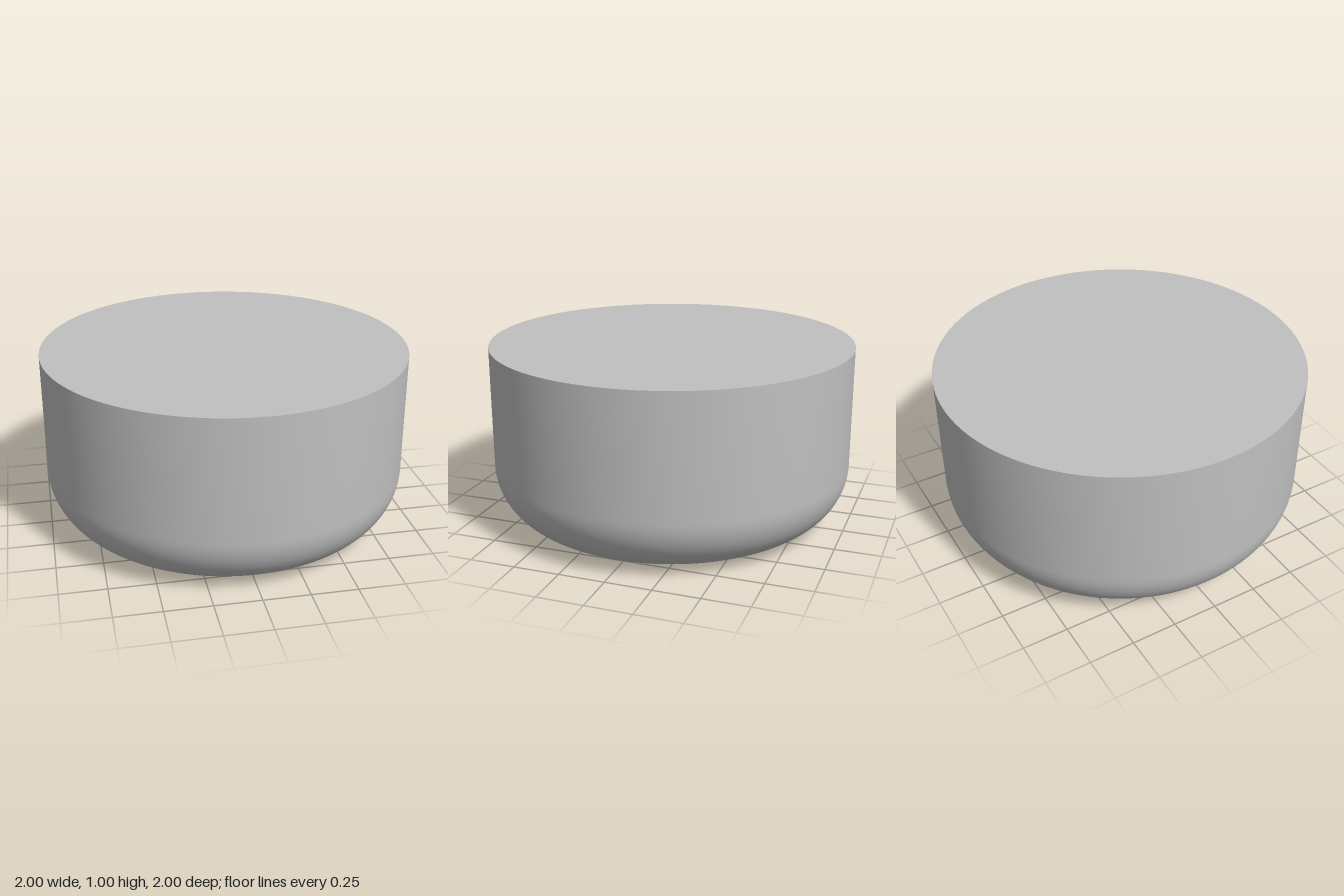
import * as THREE from 'three';
import { toCreasedNormals } from 'three/addons/utils/BufferGeometryUtils.js';

const FILLET = 1 / 3;        // radius of the rounded lower edge
const FLAT = 1 - FILLET;     // radius of the flat underside
const DEPTH = 1 / 3;         // depth of the cross-shaped recess
const HEIGHT = 1;

// Distance from the axis to the outline of the cross at an angle
function crossRadius(t) {
  const a = Math.abs(Math.sin(t)), b = Math.abs(Math.cos(t));
  const long = Math.max(a, b), short = Math.min(a, b);
  return short / long < 0.5 ? 2 / 3 / long : 1 / 3 / short;
}

// Height of the underside at a radius
function underside(r) {
  const d = Math.min(Math.max(r - FLAT, 0), FILLET);
  return FILLET - Math.sqrt(FILLET * FILLET - d * d);
}

// Angles around the axis, with a sample on every corner of the cross
function makeAngles() {
  const octant = [];
  const stops = [0, Math.atan(0.5), Math.PI / 6, Math.PI / 4], steps = [8, 1, 5];
  steps.forEach((n, k) => {
    for (let i = 0; i < n; i++) octant.push(stops[k] + (stops[k + 1] - stops[k]) * i / n);
  });
  const quarter = [...octant, Math.PI / 4, ...octant.slice(1).reverse().map(a => Math.PI / 2 - a)];
  const all = [];
  for (let q = 0; q < 4; q++) quarter.forEach(a => all.push(a + q * Math.PI / 2));
  return all;
}

// Surface swept around the axis; each row gives [radius, height] at an angle
function sweep(rows, angles) {
  const pos = [], index = [], n = angles.length;
  rows.forEach(row => angles.forEach(t => {
    const [r, y] = row(t);
    pos.push(r * Math.sin(t), y, r * Math.cos(t));
  }));
  for (let j = 0; j < rows.length - 1; j++) {
    for (let i = 0; i < n; i++) {
      const k = (i + 1) % n;
      const a = j * n + i, b = j * n + k, c = a + n, d = b + n;
      index.push(a, b, c, b, d, c);
    }
  }
  const g = new THREE.BufferGeometry();
  g.setAttribute('position', new THREE.Float32BufferAttribute(pos, 3));
  g.setIndex(index);
  return toCreasedNormals(g, 0.5);
}

export function createModel() {
  const group = new THREE.Group();
  group.name = 'roundedKnob';
  const grey = new THREE.MeshStandardMaterial({ color: 0xc0c0c0 });
  grey.name = 'grey';
  const angles = makeAngles();

  const add = (name, rows) => {
    const mesh = new THREE.Mesh(sweep(rows, angles), grey);
    mesh.name = name;
    group.add(mesh);
  };

  // Underside around the recess, rounded edge and straight side
  const shell = [t => {
    const r = crossRadius(t);
    return [r, underside(r)];
  }];
  const STEPS = 20;
  for (let i = 0; i <= STEPS; i++) {
    const a = i / STEPS * Math.PI / 2;
    const ring = FLAT + FILLET * Math.sin(a);
    shell.push(t => {
      const r = Math.max(ring, crossRadius(t));
      return [r, underside(r)];
    });
  }
  shell.push(() => [1, HEIGHT]);
  add('bodyShell', shell);

  // Flat top
  add('topFace', [() => [1, HEIGHT], () => [0, HEIGHT]]);

  // Cross-shaped recess in the underside
  add('recessWalls', [
    t => [crossRadius(t), DEPTH],
    t => [crossRadius(t), underside(crossRadius(t))],
  ]);
  add('recessFloor', [() => [0, DEPTH], t => [crossRadius(t), DEPTH]]);

  return group;
}
